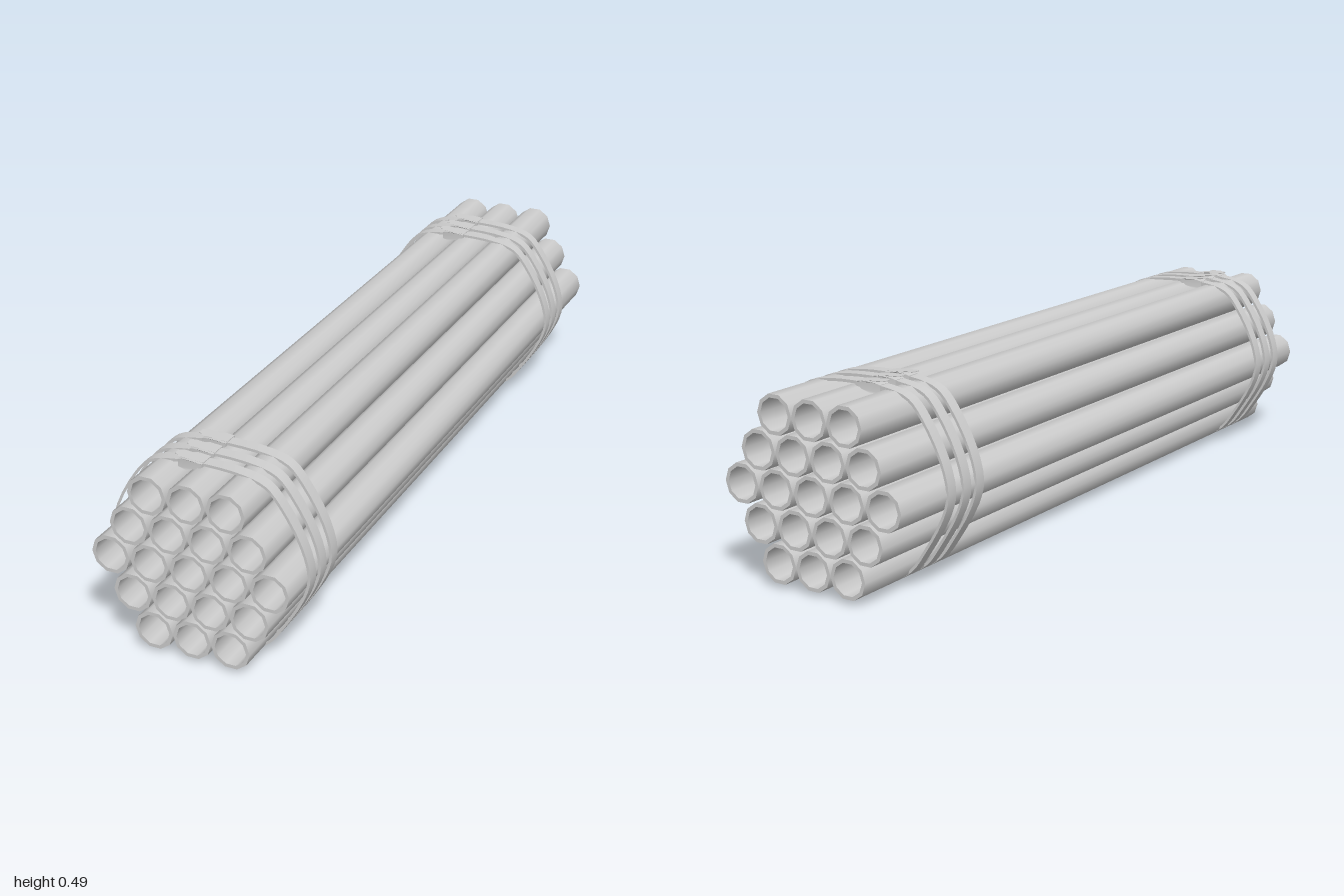
import * as THREE from 'three';
import { toCreasedNormals } from 'three/addons/utils/BufferGeometryUtils.js';

const CX = -0.0015;
const material = new THREE.MeshStandardMaterial({ color: 0xcccccc });

function addMesh(parent, geometry, name) {
  const mesh = new THREE.Mesh(geometry, material);
  mesh.name = name;
  parent.add(mesh);
  return mesh;
}

// Ten-sided hollow pipe along z, smooth walls and crisp rims
function pipeGeometry() {
  const outer = 0.051, inner = 0.0415, half = 1;
  const rings = [[inner, -half], [outer, -half], [outer, half], [inner, half], [inner, -half]];
  const geometry = new THREE.LatheGeometry(rings.map(([r, y]) => new THREE.Vector2(r, y)), 10);
  geometry.rotateX(Math.PI / 2);
  geometry.rotateZ(Math.PI / 2); // a corner points straight up
  return toCreasedNormals(geometry, Math.PI / 4);
}

// Flat strap wrapped round the bundle: outer loop with an inset hole
function strapGeometry(width, thickness) {
  const half = [[0, 0.487], [0.102, 0.48], [0.155, 0.463], [0.192, 0.423], [0.246, 0.327],
    [0.265, 0.247], [0.25, 0.188], [0.192, 0.089], [0.155, 0.041], [0.102, 0.011], [0, 0.002]];
  const mirrored = half.slice(1, -1).reverse().map(([x, y]) => [-x, y]);
  const loop = new THREE.CatmullRomCurve3(
    [...half, ...mirrored].map(([x, y]) => new THREE.Vector3(x + CX / 2, y, 0)), true);
  const outer = [], inner = [];
  const count = 60;
  for (let i = 0; i < count; i++) {
    const p = loop.getPoint(i / count), t = loop.getTangent(i / count);
    outer.push(new THREE.Vector2(p.x, p.y));
    inner.push(new THREE.Vector2(p.x + t.y * thickness, p.y - t.x * thickness));
  }
  const shape = new THREE.Shape(outer);
  shape.holes.push(new THREE.Path(inner));
  const geometry = new THREE.ExtrudeGeometry(shape, { depth: width, bevelEnabled: false });
  geometry.translate(0, 0, -width / 2);
  return toCreasedNormals(geometry, Math.PI / 5);
}

// Side profile pulled along z, with the width set by a rule of x
function profileGeometry(points, widthAt) {
  const shape = new THREE.Shape(points.map(([x, y]) => new THREE.Vector2(x, y)));
  const geometry = new THREE.ExtrudeGeometry(shape, { depth: 1, bevelEnabled: false });
  geometry.translate(0, 0, -0.5);
  const pos = geometry.attributes.position;
  for (let i = 0; i < pos.count; i++) pos.setZ(i, pos.getZ(i) * widthAt(pos.getX(i)));
  return toCreasedNormals(geometry, Math.PI / 6);
}

export function createModel() {
  const model = new THREE.Group();
  model.name = 'pipeBundle';

  // Hexagonal stack of pipes: [count, pitch, height]
  const pipes = new THREE.Group();
  pipes.name = 'pipes';
  model.add(pipes);
  const pipe = pipeGeometry();
  const rows = [[3, 0.1025, 0.064], [4, 0.1033, 0.155], [5, 0.1048, 0.246],
    [4, 0.1033, 0.336], [3, 0.1025, 0.428]];
  for (const [count, pitch, y] of rows) {
    for (let i = 0; i < count; i++) {
      addMesh(pipes, pipe, 'pipe').position.set(CX + (i - (count - 1) / 2) * pitch, y, 0);
    }
  }

  // Three ties near each end, each a strap with a locking head and loose tail
  const strap = strapGeometry(0.031, 0.007);
  const head = profileGeometry(
    [[-0.073, 0.466], [-0.05, 0.464], [-0.022, 0.472], [-0.006, 0.479], [-0.006, 0.488],
      [-0.04, 0.491], [-0.062, 0.489], [-0.073, 0.485]],
    (x) => (x > -0.045 ? 0.046 : 0.046 + (x + 0.045) * 0.45));
  const tail = profileGeometry(
    [[-0.084, 0.493], [-0.072, 0.4922], [-0.006, 0.486], [-0.006, 0.489], [-0.072, 0.4945],
      [-0.084, 0.495]],
    (x) => (x < -0.08 ? 0.016 : 0.03));
  for (const z of [0.888, 0.833, 0.774, -0.694, -0.747, -0.808]) {
    const tie = new THREE.Group();
    tie.name = 'tie';
    tie.position.z = z;
    addMesh(tie, strap, 'strap');
    addMesh(tie, head, 'lockingHead');
    addMesh(tie, tail, 'looseTail');
    model.add(tie);
  }
  return model;
}
